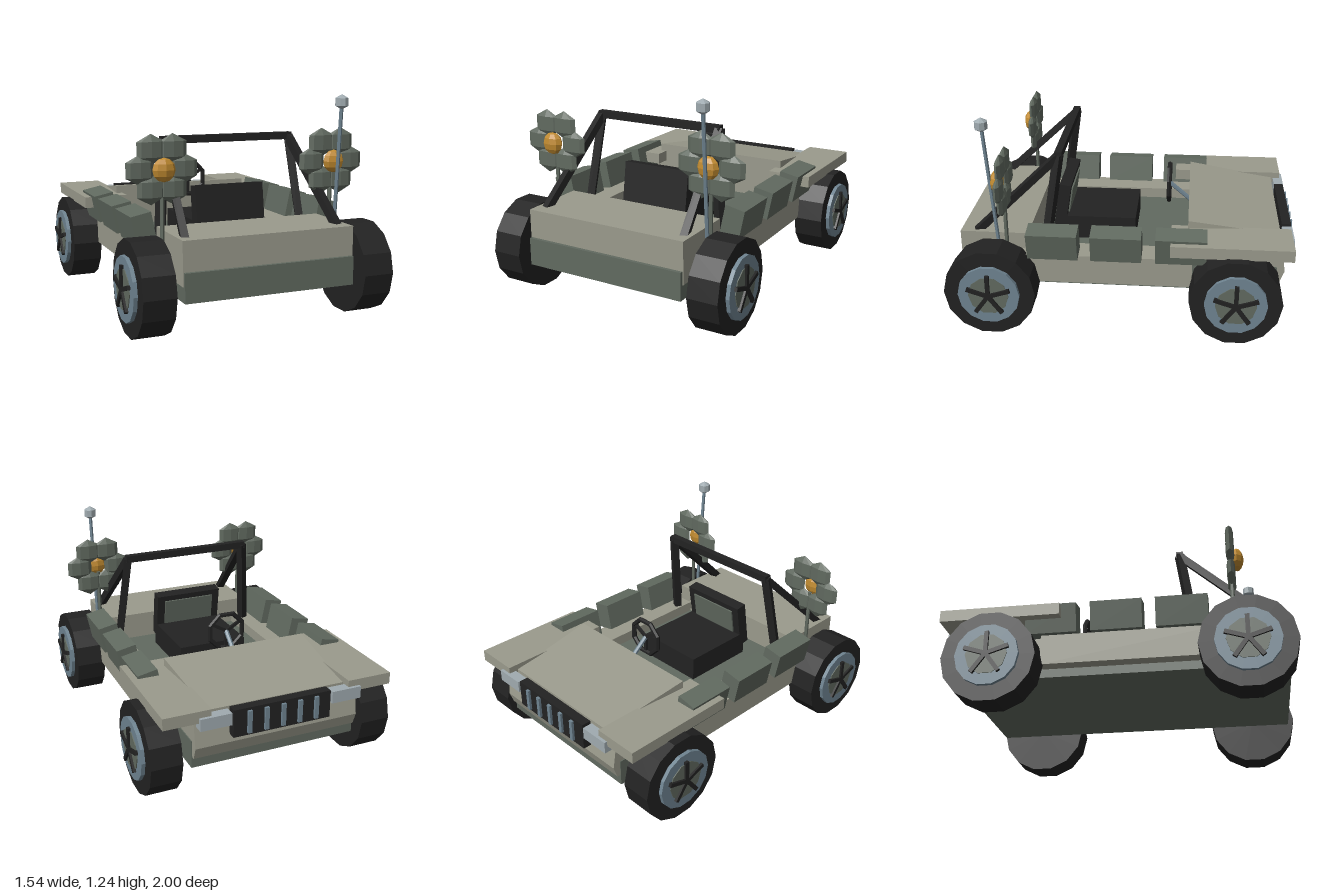
import * as THREE from 'three';

const mat = (name, color) => {
  const m = new THREE.MeshStandardMaterial({ color });
  m.name = name;
  m.flatShading = true;
  return m;
};

export function createModel() {
  const root = new THREE.Group();
  root.name = 'openBuggy';
  const paint = mat('khakiGrey', 0x9a9a8c);
  const green = mat('fieldGreen', 0x616a60);
  const black = mat('rubberBlack', 0x222222);
  const steel = mat('blueSteel', 0x6f8491);
  const pale = mat('paleGrey', 0xa0abb0);
  const gold = mat('amber', 0xc08a30);

  const add = (name, geo, m, x = 0, y = 0, z = 0, parent = root) => {
    const mesh = new THREE.Mesh(geo, m);
    mesh.name = name;
    mesh.position.set(x, y, z);
    parent.add(mesh);
    return mesh;
  };
  // box given by its min and max on each axis
  const box = (name, m, x0, x1, y0, y1, z0, z1, parent = root) =>
    add(name, new THREE.BoxGeometry(x1 - x0, y1 - y0, z1 - z0), m,
      (x0 + x1) / 2, (y0 + y1) / 2, (z0 + z1) / 2, parent);
  // straight bar between two points, round or square
  const bar = (name, m, a, b, r, sides = 6) => {
    const p = new THREE.Vector3(...a), q = new THREE.Vector3(...b);
    const d = q.clone().sub(p);
    const geo = new THREE.CylinderGeometry(r, r, d.length(), sides);
    if (sides === 4) geo.rotateY(Math.PI / 4);
    const mesh = add(name, geo, m);
    mesh.position.copy(p.add(q).multiplyScalar(0.5));
    mesh.quaternion.setFromUnitVectors(new THREE.Vector3(0, 1, 0), d.normalize());
    return mesh;
  };
  // block with a side profile of [z, y] points, spanning -w..w in x
  const profile = (points, w) => {
    const shape = new THREE.Shape(points.map(([z, y]) => new THREE.Vector2(-z, y)));
    const geo = new THREE.ExtrudeGeometry(shape, { depth: 2 * w, bevelEnabled: false });
    geo.translate(0, 0, -w);
    geo.rotateY(Math.PI / 2);
    return geo;
  };

  // chassis slab, also the cabin floor and the tail panel
  box('chassis', green, -0.495, 0.495, 0.215, 0.375, -0.9, 0.965);
  box('rearDeck', paint, -0.5, 0.5, 0.3, 0.54, 0.545, 0.945);

  // nose and bonnet
  add('nose', profile([[-0.4, 0.27], [-0.4, 0.53], [-0.915, 0.53], [-0.945, 0.35], [-0.92, 0.28]], 0.49), paint);
  const hood = profile([[-0.38, 0.37], [-0.38, 0.63], [-0.915, 0.55], [-0.915, 0.4]], 0.41);
  const hp = hood.attributes.position;
  for (let i = 0; i < hp.count; i++) {
    const t = (hp.getZ(i) + 0.915) / 0.535;
    hp.setX(i, hp.getX(i) * (1 + 0.09 * t));
  }
  hood.computeVertexNormals();
  add('bonnet', hood, paint);

  // grille with upright bars
  box('grille', black, -0.29, 0.29, 0.395, 0.555, -0.985, -0.93);
  for (let i = -2; i <= 2; i++)
    box('grilleBar', steel, i * 0.1 - 0.012, i * 0.1 + 0.012, 0.41, 0.54, -1, -0.98);

  for (const s of [-1, 1]) {
    const sideBox = (name, m, x0, x1, ...r) =>
      box(name, m, Math.min(s * x0, s * x1), Math.max(s * x0, s * x1), ...r);
    sideBox('sideSill', paint, 0.41, 0.57, 0.265, 0.44, -0.41, 0.62);
    sideBox('frontFender', paint, 0.41, 0.68, 0.515, 0.583, -0.972, -0.285);
    sideBox('headlight', pale, 0.3, 0.48, 0.475, 0.545, -0.99, -0.93);

    // tilted storage boxes along the sills
    for (const z of [0.39, 0.025, -0.345]) {
      const b = add('sideCase', new THREE.BoxGeometry(0.12, 0.167, 0.29), green, s * 0.568, 0.528, z);
      b.rotation.z = -s * 0.2;
    }

    // roll cage legs and braces
    bar('rollBarLeg', black, [s * 0.395, 0.995, 0.37], [s * 0.45, 0.42, 0.455], 0.032, 4);
    bar('rollBarBrace', black, [s * 0.395, 0.99, 0.37], [s * 0.455, 0.51, 0.87], 0.03, 4);

    // flower on a stem: six petals around an amber heart
    const flower = new THREE.Group();
    flower.name = 'flower';
    flower.position.set(s * 0.51, 0.87, 0.67);
    root.add(flower);
    for (let i = 0; i < 6; i++) {
      const a = i * Math.PI / 3;
      const petal = new THREE.SphereGeometry(0.09, 8, 3);
      petal.scale(1, 0.92, 0.3);
      add('petal', petal, green, 0.122 * Math.cos(a), 0.122 * Math.sin(a), 0, flower);
    }
    add('flowerHeart', new THREE.SphereGeometry(0.065, 8, 6).scale(1, 1, 0.6), gold, 0, 0, 0.035, flower);
    bar('flowerStem', green, [s * 0.51, 0.42, 0.67], [s * 0.51, 0.83, 0.67], 0.012);

    // wheels
    for (const z of [0.74, -0.66]) {
      const wheel = new THREE.Group();
      wheel.name = 'wheel';
      wheel.position.set(s * 0.64, 0.264, z);
      wheel.rotation.y = s > 0 ? 0 : Math.PI;
      root.add(wheel);
      const disc = (name, m, r, x0, x1, n) =>
        add(name, new THREE.CylinderGeometry(r, r, x1 - x0, n).rotateZ(Math.PI / 2), m, (x0 + x1) / 2, 0, 0, wheel);
      disc('tyre', black, 0.264, -0.09, 0.09, 14);
      disc('rim', steel, 0.178, 0.08, 0.112, 14);
      disc('hubPlate', green, 0.117, 0.1, 0.117, 10);
      for (let i = 0; i < 5; i++) {
        const spoke = new THREE.BoxGeometry(0.025, 0.13, 0.024).translate(0, 0.065, 0);
        add('spoke', spoke, black, 0.117, 0, 0, wheel).rotation.x = i * Math.PI * 2 / 5;
      }
    }
  }
  bar('rollBarTop', black, [-0.41, 0.993, 0.37], [0.41, 0.993, 0.37], 0.03, 4);

  // seat with a padded back leaning slightly forward
  box('seatCushion', black, -0.215, 0.215, 0.37, 0.52, -0.06, 0.4);
  const back = new THREE.Group();
  back.name = 'seatBack';
  back.position.set(0, 0.59, 0.385);
  back.rotation.x = -0.15;
  root.add(back);
  box('seatBackFrame', black, -0.215, 0.215, -0.15, 0.135, -0.035, 0.035, back);
  box('seatBackPad', green, -0.165, 0.165, -0.06, 0.1, -0.044, -0.03, back);

  // steering
  const ring = new THREE.TorusGeometry(0.112, 0.015, 6, 8).rotateZ(Math.PI / 8);
  add('steeringWheel', ring, black, 0, 0.675, -0.255);
  for (const a of [0, 1, 2]) {
    const spoke = new THREE.BoxGeometry(0.018, 0.11, 0.015).translate(0, -0.055, 0);
    add('steeringSpoke', spoke, black, 0, 0.675, -0.255).rotation.z = a * Math.PI * 2 / 3;
  }
  bar('steeringColumn', steel, [0, 0.675, -0.255], [0, 0.56, -0.39], 0.014);

  // antenna with a pale knob
  bar('antenna', steel, [0.515, 0.45, 0.715], [0.515, 1.18, 0.77], 0.011);
  add('antennaKnob', new THREE.SphereGeometry(0.043, 8, 3), pale, 0.515, 1.207, 0.772);

  return root;
}
